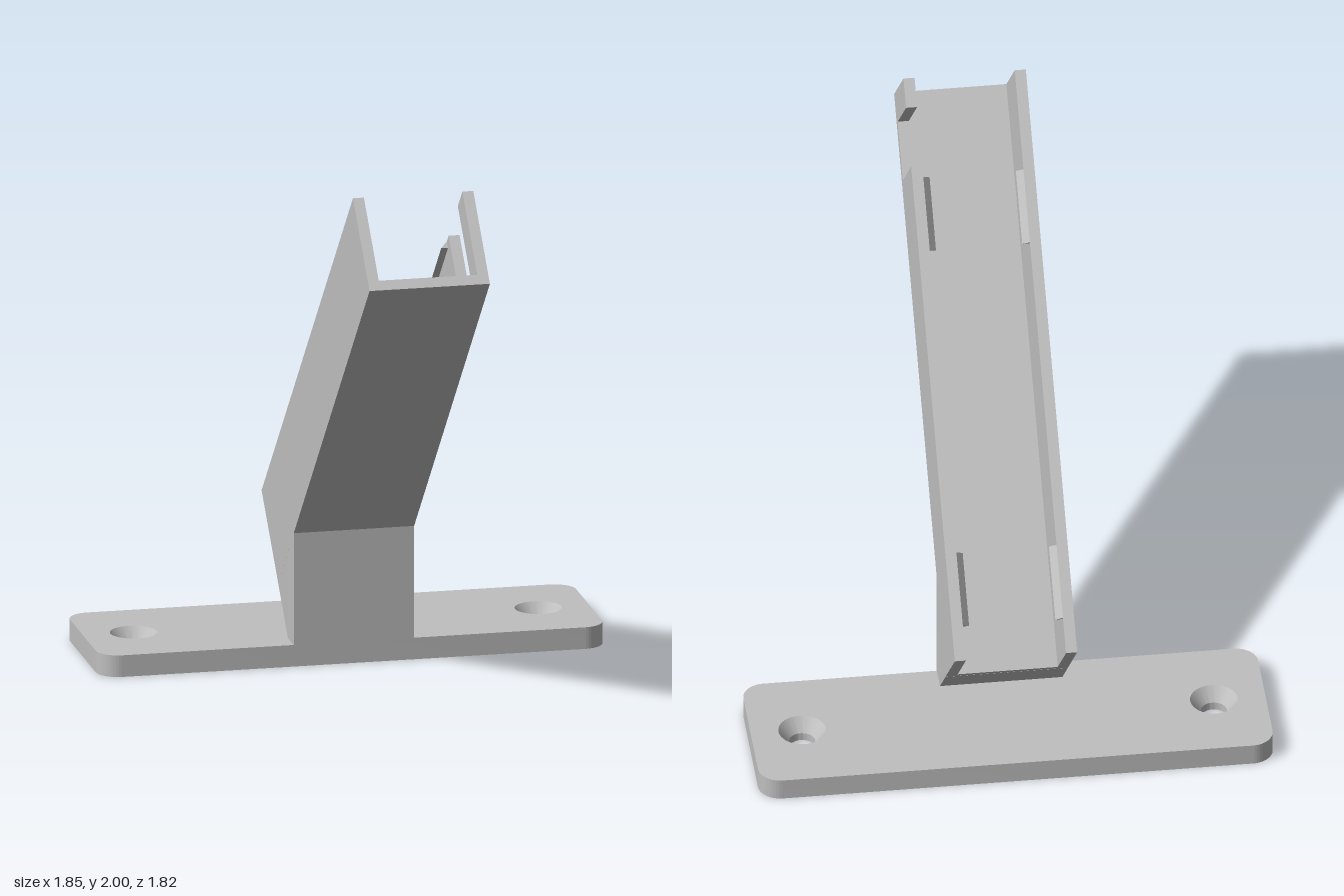
import * as THREE from 'three';
import { toCreasedNormals } from 'three/addons/utils/BufferGeometryUtils.js';

export function createModel() {
  const model = new THREE.Group();
  model.name = 'wallBracket';
  const grey = new THREE.MeshStandardMaterial({ color: 0xbfbfbf, side: THREE.DoubleSide });
  grey.name = 'grey plastic';

  const add = (parent, name, geometry) => {
    const mesh = new THREE.Mesh(geometry, grey);
    mesh.name = name;
    parent.add(mesh);
    return mesh;
  };
  const boxBetween = (parent, name, [x0, x1], [y0, y1], [z0, z1]) =>
    add(parent, name, new THREE.BoxGeometry(x1 - x0, y1 - y0, z1 - z0))
      .position.set((x0 + x1) / 2, (y0 + y1) / 2, (z0 + z1) / 2);

  // Base plate: rounded rectangle with two screw holes
  const W = 0.925, D = 0.29, R = 0.08, T = 0.08, plateZ = -0.618;
  const holeX = 0.74, sinkR = 0.085, holeR = 0.047;
  const outline = new THREE.Shape();
  outline.absarc(W - R, D - R, R, 0, Math.PI / 2);
  outline.absarc(-W + R, D - R, R, Math.PI / 2, Math.PI);
  outline.absarc(-W + R, -D + R, R, Math.PI, Math.PI * 1.5);
  outline.absarc(W - R, -D + R, R, Math.PI * 1.5, Math.PI * 2);
  outline.closePath();
  for (const side of [-1, 1]) {
    outline.holes.push(new THREE.Path().absarc(side * holeX, 0, sinkR, 0, Math.PI * 2, true));
  }
  const plate = new THREE.ExtrudeGeometry(outline, { depth: T, bevelEnabled: false, curveSegments: 24 });
  plate.rotateX(-Math.PI / 2);
  add(model, 'basePlate', toCreasedNormals(plate, 0.5)).position.z = plateZ;

  // Countersunk linings of the screw holes
  const sink = [[sinkR, T], [holeR, 0.03], [holeR, 0], [sinkR, 0]].map(p => new THREE.Vector2(...p));
  for (const side of [-1, 1]) {
    const lining = toCreasedNormals(new THREE.LatheGeometry(sink, 48), 0.5);
    add(model, 'screwHole', lining).position.set(side * holeX, 0, plateZ);
  }

  // Foot joining the plate to the sloping channel, drawn as z, y
  const half = 0.22, inner = 0.18;
  const foot = new THREE.Shape(
    [[-0.325, T], [-0.325, 0.495], [-0.58, 0.24], [-0.42, T]].map(p => new THREE.Vector2(...p)));
  const footGeometry = new THREE.ExtrudeGeometry(foot, { depth: half * 2, bevelEnabled: false });
  footGeometry.rotateY(-Math.PI / 2).translate(half, 0, 0);
  add(model, 'foot', footGeometry);

  // Channel leaning forward at 45 degrees; local z runs up its length
  const channel = new THREE.Group();
  channel.name = 'channel';
  channel.rotation.x = -Math.PI / 4;
  model.add(channel);
  const low = -0.24, high = 1.867, bottom = 0.58, floorTop = 0.62, rim = 0.962;
  boxBetween(channel, 'channelFloor', [-half, half], [bottom, floorTop], [low, high]);
  boxBetween(channel, 'rightWall', [-half, -inner], [floorTop, rim], [low, high]);
  // The left wall has a slot near its upper end
  boxBetween(channel, 'leftWall', [inner, half], [floorTop, rim], [low, 1.549]);
  boxBetween(channel, 'leftWallEnd', [inner, half], [floorTop, rim], [1.761, high]);

  // Wedge-shaped clips along the inner rims
  for (const side of [-1, 1]) {
    const wedge = new THREE.Shape([
      new THREE.Vector2(side * inner, rim),
      new THREE.Vector2(side * 0.155, rim - 0.027),
      new THREE.Vector2(side * inner, rim - 0.027),
    ]);
    for (const start of [-0.113, 1.245]) {
      const clip = new THREE.ExtrudeGeometry(wedge, { depth: 0.264, bevelEnabled: false });
      add(channel, 'clip', clip).position.z = start;
    }
  }
  return model;
}
